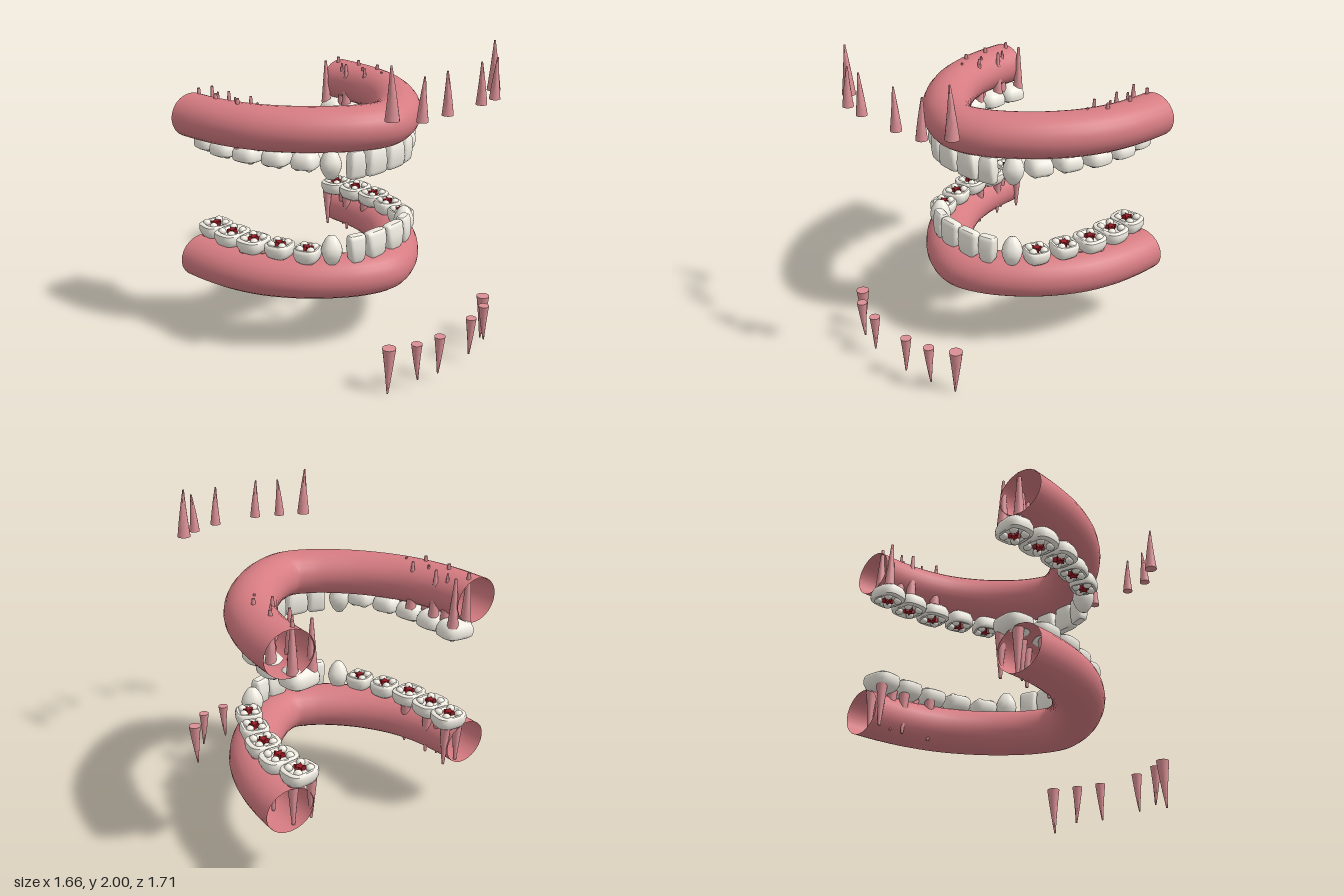
import * as THREE from 'three';
import { toCreasedNormals } from 'three/addons/utils/BufferGeometryUtils.js';

const gumMat = new THREE.MeshStandardMaterial({ color: 0xd67c82, side: THREE.DoubleSide });
const rootMat = new THREE.MeshStandardMaterial({ color: 0xdb9095 });
const toothMat = new THREE.MeshStandardMaterial({ color: 0xf0ece2 });
const pitMat = new THREE.MeshStandardMaterial({ color: 0x9c1a24 });

function add(parent, name, geo, mat, x = 0, y = 0, z = 0) {
  const m = new THREE.Mesh(geo, mat);
  m.name = name;
  m.position.set(x, y, z);
  parent.add(m);
  return m;
}

// Stack of rounded-square rings, each row = [y, half width, half depth]
function loft(rows, power, n = 28) {
  const pos = [], idx = [];
  const round = v => Math.sign(v) * Math.abs(v) ** power;
  rows.forEach(([y, w, d]) => {
    for (let j = 0; j < n; j++) {
      const a = j / n * Math.PI * 2;
      pos.push(w * round(Math.cos(a)), y, d * round(Math.sin(a)));
    }
  });
  for (let i = 0; i < rows.length - 1; i++) {
    for (let j = 0; j < n; j++) {
      const a = i * n + j, b = i * n + (j + 1) % n, c = b + n, d = a + n;
      idx.push(a, d, b, d, c, b);
    }
  }
  const g = new THREE.BufferGeometry();
  g.setAttribute('position', new THREE.Float32BufferAttribute(pos, 3));
  g.setIndex(idx);
  return toCreasedNormals(g, 0.75);
}

// Downward tapering root whose tip bends sideways
function rootGeometry(length, rTop, rTip, lean) {
  const g = new THREE.CylinderGeometry(rTop, rTip, length, 16, 6);
  const p = g.attributes.position;
  for (let i = 0; i < p.count; i++) {
    const t = 0.5 - p.getY(i) / length;
    p.setX(i, p.getX(i) + lean * t * t);
  }
  g.computeVertexNormals();
  return toCreasedNormals(g, 0.8);
}

function addRoot(parent, x, z, top, tip, rTop, rTip, lean = 0) {
  add(parent, 'root', rootGeometry(top - tip, rTop, rTip, lean), rootMat, x, (top + tip) / 2, z);
}

function starGeometry(r) {
  const s = new THREE.Shape();
  for (let i = 0; i < 10; i++) {
    const a = i / 10 * Math.PI * 2, k = i % 2 ? r * 0.45 : r;
    s[i ? 'lineTo' : 'moveTo'](k * Math.cos(a), k * Math.sin(a));
  }
  s.closePath();
  return new THREE.ExtrudeGeometry(s, { depth: 0.03, bevelEnabled: false }).rotateX(-Math.PI / 2);
}

const incisor = w => loft([[0.63, 0, 0], [0.635, w * 0.6, 0.03], [0.66, w * 0.86, 0.042], [0.73, w * 0.98, 0.045],
  [0.785, w, 0.037], [0.803, w * 0.97, 0.032], [0.811, w * 0.86, 0.024], [0.811, 0, 0]], 0.45);

const canine = () => loft([[0.61, 0, 0], [0.618, 0.024, 0.024], [0.65, 0.046, 0.048], [0.69, 0.062, 0.066],
  [0.72, 0.067, 0.069], [0.75, 0.061, 0.062], [0.785, 0.044, 0.045], [0.81, 0.025, 0.026], [0.82, 0, 0]], 0.85);

// Grinding tooth: bulging wall, flat rim, hollow with cusps and a red pit
function addGrinder(parent, name, w, d) {
  add(parent, name, loft([[0.635, 0, 0], [0.637, w * 0.6, d * 0.6], [0.655, w * 0.85, d * 0.85], [0.685, w * 0.98, d * 0.98],
    [0.71, w, d], [0.728, w * 0.97, d * 0.97], [0.735, w * 0.88, d * 0.88], [0.734, w * 0.72, d * 0.72],
    [0.718, w * 0.58, d * 0.58], [0.714, 0, 0]], 0.65), toothMat);
  for (const sx of [-1, 1]) for (const sz of [-1, 1]) {
    const cusp = add(parent, 'cusp', new THREE.SphereGeometry(0.026, 14, 10), toothMat, sx * w * 0.43, 0.73, sz * d * 0.45);
    cusp.scale.y = 0.9;
  }
  add(parent, 'pit', starGeometry(0.037), pitMat, 0, 0.714, 0);
}

const FRONT = [ // name, x, z, yaw, geometry maker
  ['centralIncisor', 0.085, 0.222, 0.05, () => incisor(0.079)],
  ['lateralIncisor', 0.224, 0.19, 0.3, () => incisor(0.058)],
  ['canine', 0.345, 0.095, 0.7, canine],
];
const BACK = [ // name, x, z, yaw, half width, half length
  ['premolar', 0.445, -0.02, -0.4, 0.085, 0.083],
  ['premolar', 0.515, -0.2, -0.3, 0.09, 0.087],
  ['molar', 0.57, -0.385, -0.15, 0.105, 0.094],
  ['molar', 0.585, -0.577, -0.05, 0.115, 0.095],
  ['molar', 0.57, -0.763, 0.12, 0.107, 0.092],
];
const LOOSE = [ // x, z, top, tip, radius, tip lean
  [0.467, 0.685, 0.305, 0, 0.042, -0.012],
  [0.335, 0.787, 0.318, 0.07, 0.034, 0.014],
  [0.157, 0.82, 0.31, 0.06, 0.034, -0.011],
];

// Lower jaw; leanSign and rootTip let the upper one reuse it
function jaw(name, leanSign, rootTip) {
  const g = new THREE.Group();
  g.name = name;

  // Horseshoe gum, open at the back ends
  const half = [[0.672, -0.825], [0.665, -0.67], [0.635, -0.48], [0.565, -0.28], [0.44, -0.085], [0.3, 0.06], [0.155, 0.163]];
  const pts = [...half, [0, 0.213], ...half.slice().reverse().map(([x, z]) => [-x, z])];
  const path = new THREE.CatmullRomCurve3(pts.map(([x, z]) => new THREE.Vector3(x, 0, z)));
  const gum = add(g, 'gum', new THREE.TubeGeometry(path, 80, 0.157, 24), gumMat, 0, 0.515, 0);
  gum.scale.y = 0.89;

  for (const s of [1, -1]) {
    for (const [n, x, z, yaw, make] of FRONT) {
      add(g, n, make(), toothMat, s * x, 0, z).rotation.y = s * yaw;
    }
    for (const [n, x, z, yaw, w, d] of BACK) {
      const t = new THREE.Group();
      t.name = n;
      t.position.set(s * x, 0, z);
      t.rotation.y = s * yaw;
      addGrinder(t, n + 'Crown', w, d);
      g.add(t);
      // Three roots under each molar
      if (n === 'molar') {
        addRoot(g, s * (x + 0.06), z - 0.025, 0.66, rootTip, 0.034, 0.01);
        addRoot(g, s * (x - 0.056), z - 0.038, 0.66, rootTip + 0.01, 0.034, 0.008);
        addRoot(g, s * (x - 0.01), z + 0.078, 0.66, rootTip + 0.02, 0.032, 0.006);
      }
    }
    // Separate front roots
    for (const [x, z, top, tip, r, lean] of LOOSE) {
      addRoot(g, s * x, z, top, tip, r, 0.005, lean * leanSign);
    }
  }
  return g;
}

export function createModel() {
  const model = new THREE.Group();
  model.name = 'dentalArches';
  model.add(jaw('lowerJaw', 1, 0.385));
  // Upper jaw is the lower turned half round about the front axis
  const upper = jaw('upperJaw', -1, 0.345);
  upper.rotation.z = Math.PI;
  upper.position.y = 2;
  model.add(upper);
  return model;
}
